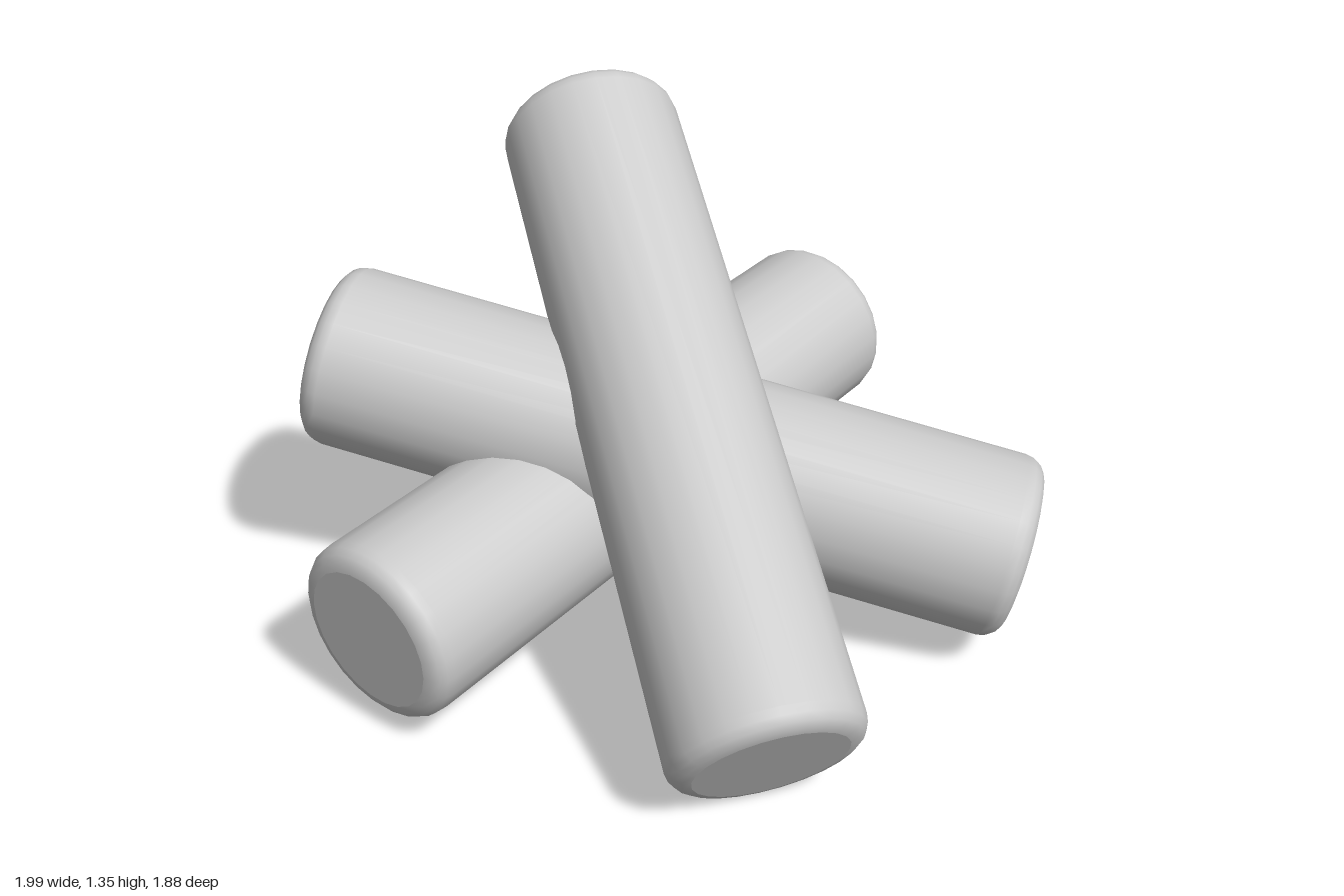
import * as THREE from 'three';
import { mergeGeometries } from 'three/addons/utils/BufferGeometryUtils.js';

const LENGTH = 1.95, RADIUS = 0.25, BEVEL = 0.055, SIDES = 24;

// One log along y: a smooth barrel with rounded rims, and crisp flat ends
function logGeometry() {
  const half = LENGTH / 2, inner = RADIUS - BEVEL, steps = 4;
  const profile = [];
  for (const end of [-1, 1]) {
    for (let i = 0; i <= steps; i++) {
      const t = (end < 0 ? i : steps - i) / steps * Math.PI / 2;
      profile.push(new THREE.Vector2(
        inner + BEVEL * Math.sin(t),
        end * (half - BEVEL + BEVEL * Math.cos(t))
      ));
    }
  }
  const barrel = new THREE.LatheGeometry(profile, SIDES);
  const caps = [-1, 1].map((end) =>
    new THREE.CircleGeometry(inner, SIDES)
      .rotateX(-end * Math.PI / 2)
      .translate(0, end * half, 0));
  return mergeGeometries([barrel, ...caps]);
}

export function createModel() {
  const group = new THREE.Group();
  group.name = 'logPile';
  const material = new THREE.MeshStandardMaterial({ color: 0xcccccc });
  const geometry = logGeometry();

  // Name, centre and axis direction of each crossed log
  const logs = [
    ['bottomLog', [0, 0.342, -0.267], [0.989, 0.05, -0.138]],
    ['middleLog', [-0.027, 0.493, -0.032], [0.56, -0.203, 0.8]],
    ['topLog', [-0.1, 0.678, 0.047], [0.397, 0.49, -0.775]],
  ];
  const up = new THREE.Vector3(0, 1, 0);
  for (const [name, centre, axis] of logs) {
    const log = new THREE.Mesh(geometry, material);
    log.name = name;
    log.position.set(...centre);
    log.quaternion.setFromUnitVectors(up, new THREE.Vector3(...axis).normalize());
    group.add(log);
  }
  return group;
}
